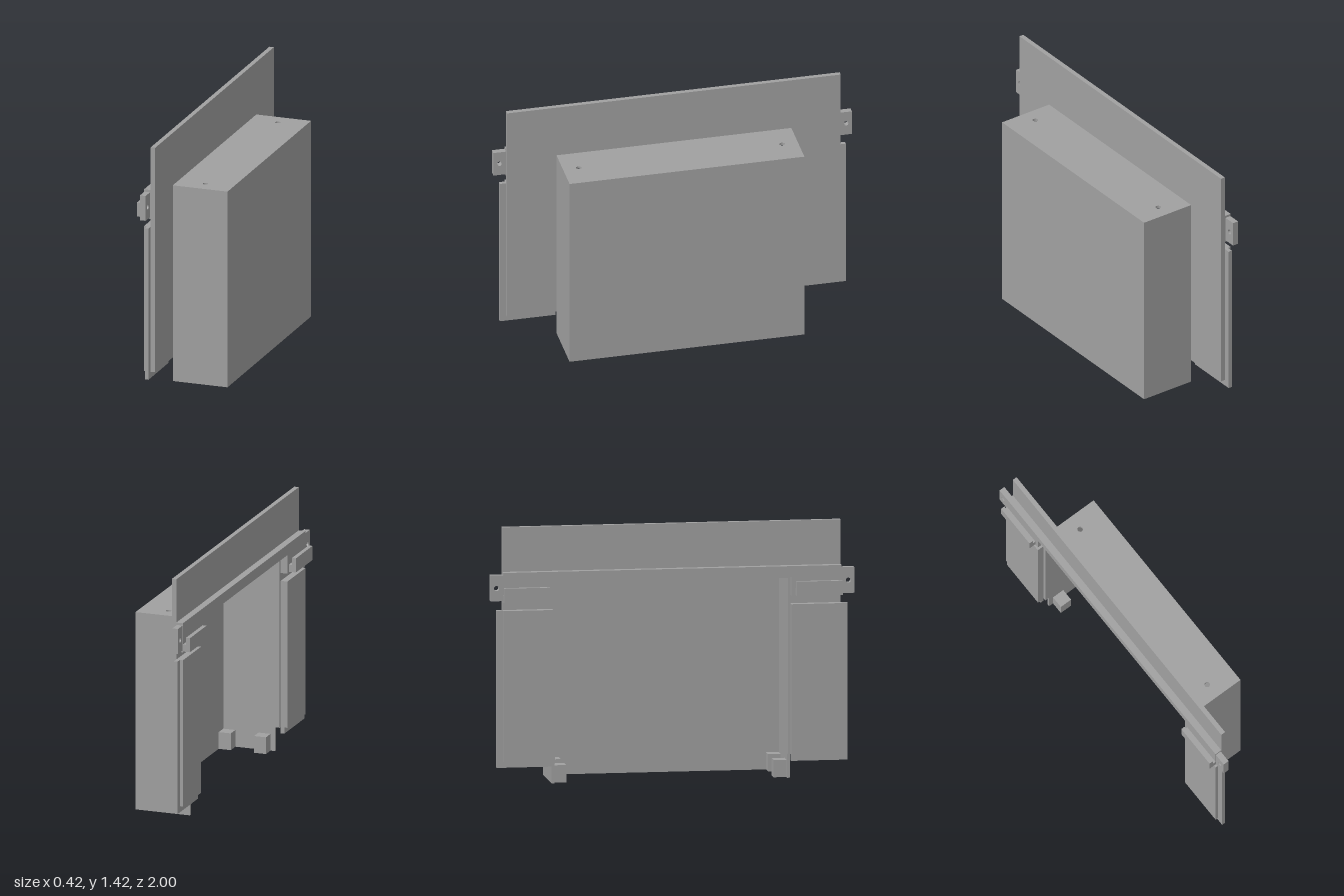
import * as THREE from 'three';

export function createModel() {
  const group = new THREE.Group();
  const grey = new THREE.MeshStandardMaterial({ color: 0xa0a0a0 });
  grey.name = 'sheet grey';

  const add = (name, geometry) => {
    const mesh = new THREE.Mesh(geometry, grey);
    mesh.name = name;
    group.add(mesh);
    return mesh;
  };

  // Box given by its limits on each axis
  const block = (name, x0, x1, y0, y1, z0, z1) =>
    add(name, new THREE.BoxGeometry(x1 - x0, y1 - y0, z1 - z0)
      .translate((x0 + x1) / 2, (y0 + y1) / 2, (z0 + z1) / 2));

  const outline = (points, holes = []) => {
    const shape = new THREE.Shape(points.map(([u, v]) => new THREE.Vector2(u, v)));
    for (const [u, v, r] of holes) {
      shape.holes.push(new THREE.Path().absarc(u, v, r, 0, Math.PI * 2, true));
    }
    return shape;
  };
  const rect = (u0, u1, v0, v1) => [[u0, v0], [u1, v0], [u1, v1], [u0, v1]];
  const extrude = (shape, depth) =>
    new THREE.ExtrudeGeometry(shape, { depth, bevelEnabled: false, curveSegments: 10 });

  // Upright plate drawn in (z, y), and flat plate drawn in (x, z)
  const upright = (name, x0, x1, points, holes) =>
    add(name, extrude(outline(points, holes), x1 - x0).rotateY(-Math.PI / 2).translate(x1, 0, 0));
  const flat = (name, y0, y1, points, holes) =>
    add(name, extrude(outline(points, holes), y1 - y0).rotateX(Math.PI / 2).translate(0, y1, 0));

  // Inverted U: a wide sheet with an opening up from its lower edge
  const archPoints = (w, y0, y1, inner, innerTop) => [
    [-w, y0], [-inner, y0], [-inner, innerTop], [inner, innerTop],
    [inner, y0], [w, y0], [w, y1], [-w, y1],
  ];

  // Large face panel, open behind the housing
  upright('facePanel', -0.133, -0.107, archPoints(0.93, 0.135, 1.42, 0.64, 1.105));

  // Hollow housing, open at the back and underneath
  const t = 0.015;
  block('housingFace', 0.21 - t, 0.21, 0, 1.12, -0.655, 0.655);
  flat('housingTop', 1.12 - t, 1.12, rect(-0.107, 0.21 - t, -0.655, 0.655),
    [[0.05, -0.567, 0.015], [0.05, 0.567, 0.015]]);

  // Cross rail behind the panel, reaching lower at both ends
  upright('crossRail', -0.172, -0.133, archPoints(0.93, 1.01, 1.175, 0.655, 1.115));

  for (const s of [1, -1]) {
    const span = (a, b) => (s > 0 ? [a, b] : [-b, -a]);

    block('housingSide', -0.107, 0.21 - t, 0, 1.12 - t, ...span(0.655 - t, 0.655));

    // Layered side plates below the rail
    block('sidePlate', -0.154, -0.133, 0.1, 0.965, ...span(0.655, 0.965));
    block('sideCover', -0.172, -0.154, 0.135, 0.965, ...span(0.655, 0.93));

    // Drilled mounting ear
    upright('mountingEar', -0.17, -0.137, rect(...span(0.93, 1), 1.02, 1.162),
      [[s * 0.967, 1.09, 0.014]]);

    // L-shaped hanging hook
    block('hookFoot', -0.19, -0.172, 1.015, 1.055, ...span(0.677, 0.93));
    block('hookLip', -0.213, -0.19, 1.015, 1.095, ...span(0.677, 0.93));

    // Fixing blocks with blind holes from below
    for (const x of [0.125, -0.08]) {
      const [z0, z1] = span(0.57, 0.64);
      flat('fixingBlock', 0, 0.06, rect(x, x + 0.07, z0, z1),
        [[x + 0.035, (z0 + z1) / 2, 0.016]]);
      block('fixingBlockCap', x, x + 0.07, 0.06, 0.095, z0, z1);
    }
  }

  return group;
}
